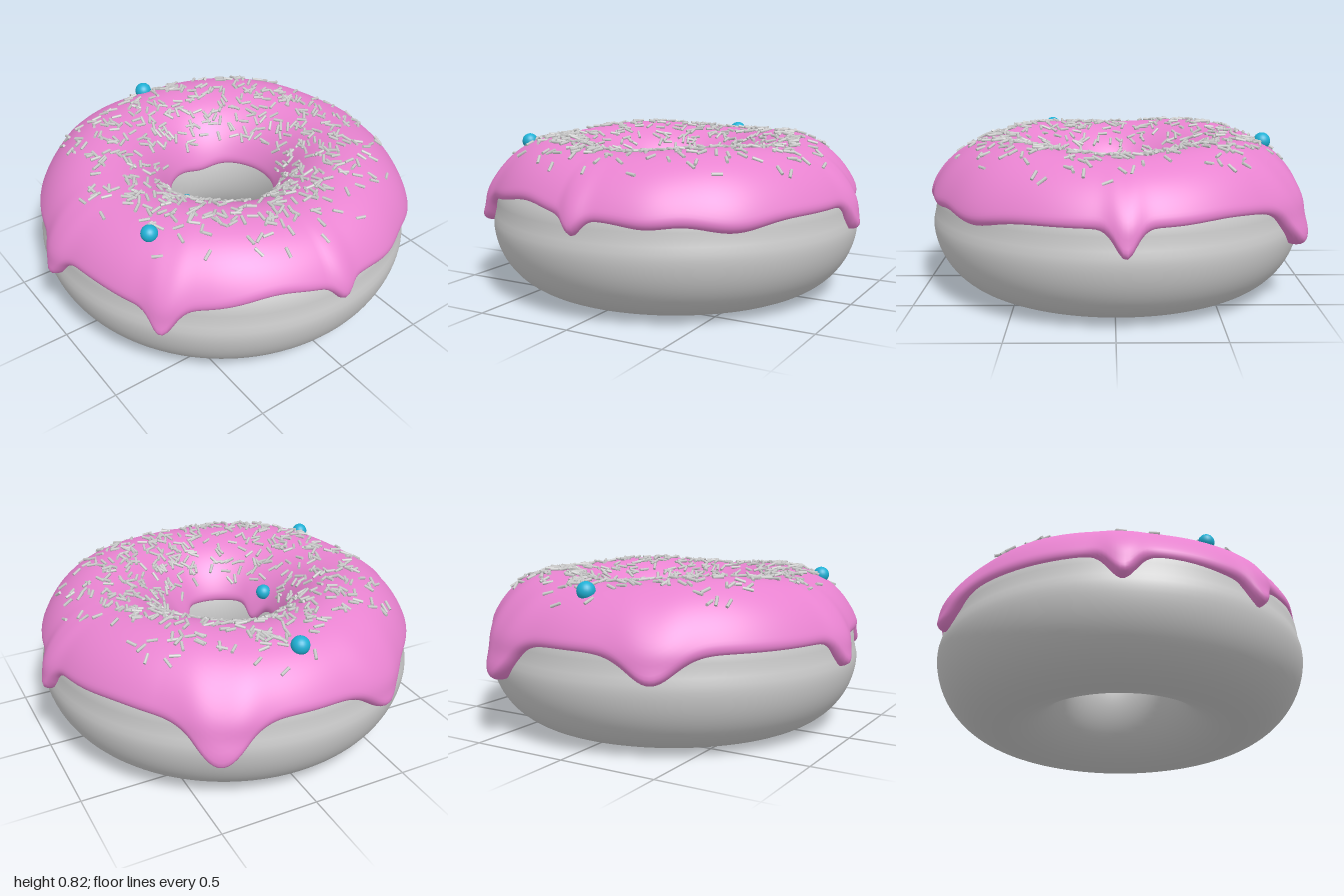
import * as THREE from 'three';
import { mergeGeometries } from 'three/addons/utils/BufferGeometryUtils.js';

const RING = 0.62, A = 0.35, B = 0.37;   // ring radius and half sizes of the dough section
const DEG = Math.PI / 180;

// Drips of the outer icing edge: angle from the front, width (degrees), depth
const DRIPS = [
  [-52, 4.5, 0.12], [0, 3.5, 0.08], [92, 4, 0.13], [153, 9, 0.2], [205, 9, 0.13], [267, 5, 0.13],
  [21, 8, 0.025], [45, 11, 0.045], [-20, 13, -0.045], [-58, 12, 0.03], [122, 12, -0.015]
];
const INNER_DRIPS = [[-65, 12, 0.08], [30, 10, 0.08], [170, 20, 0.03]];

function dripDepth(list, theta) {
  let sum = 0;
  for (const [deg, width, depth] of list) {
    const d = ((theta / DEG - deg) % 360 + 540) % 360 - 180;
    sum += depth * Math.exp(-((d / width) ** 2));
  }
  return sum;
}

// Dough section: a = 0 outside, PI/2 top, PI inside
function doughPoint(a) {
  const y = B + B * Math.sin(a);
  const dent = a > -1 && Math.cos(a) > 0 ? 0.012 * Math.exp(-(((y - 0.43) / 0.05) ** 2)) : 0;
  return new THREE.Vector2(RING + A * Math.cos(a) - dent, y);
}

function sectionNormal(a) {
  return new THREE.Vector2(Math.cos(a) / A, Math.sin(a) / B).normalize();
}

// Icing thickness away from the edges, with gentle lumps on top
function thickness(theta, a) {
  const top = Math.max(0, Math.sin(a)) ** 3;
  return 0.022 + top * (0.019 - 0.012 * Math.cos(4 * theta) + 0.012 * Math.exp(-((Math.cos(theta - 222 * DEG) - 1) ** 2) * 8));
}

function toRing(theta, r, y) {
  return new THREE.Vector3(r * Math.sin(theta), y, r * Math.cos(theta));
}

function icingPoint(theta, a, t) {
  const p = doughPoint(a).addScaledVector(sectionNormal(a), t);
  return toRing(theta, p.x, p.y);
}

function icingGeometry() {
  const around = 300, across = 44, pos = [], index = [];
  for (let i = 0; i < around; i++) {
    const theta = (i / around) * Math.PI * 2;
    const depth = dripDepth(DRIPS, theta), inner = dripDepth(INNER_DRIPS, theta);
    const a0 = Math.asin((0.5 - depth - B) / B);
    const a1 = Math.PI - Math.asin((0.48 - inner - B) / B);
    for (let j = 0; j <= across; j++) {
      const u = j / across;
      const a = a0 + (a1 - a0) * (0.5 - 0.5 * Math.cos(Math.PI * u));
      // rounded lip at both edges, fatter where a drip hangs
      const d = Math.min(a - a0, a1 - a) * A;
      const lip = d < 0.04 ? Math.sqrt(Math.max(0, 1 - (1 - d / 0.04) ** 2)) : 1;
      const bulge = Math.max(0, depth) * 0.28 * Math.exp(-(((a - a0) / 0.7) ** 2))
        + inner * 0.2 * Math.exp(-(((a1 - a) / 0.4) ** 2));
      const p = icingPoint(theta, a, -0.004 + (thickness(theta, a) + bulge + 0.004) * lip);
      pos.push(p.x, p.y, p.z);
    }
  }
  const row = across + 1;
  for (let i = 0; i < around; i++) {
    for (let j = 0; j < across; j++) {
      const p = i * row + j, q = ((i + 1) % around) * row + j;
      index.push(p, q, p + 1, q, q + 1, p + 1);
    }
  }
  const g = new THREE.BufferGeometry();
  g.setAttribute('position', new THREE.Float32BufferAttribute(pos, 3));
  g.setIndex(index);
  g.computeVertexNormals();
  return g;
}

function seeded(seed) {
  return () => {
    seed = (seed * 1664525 + 1013904223) % 4294967296;
    return seed / 4294967296;
  };
}

// Little rods lying on the icing in random directions
function sprinkleGeometry(count) {
  const rand = seeded(7), rods = [], up = new THREE.Vector3(0, 1, 0);
  const rod = new THREE.CylinderGeometry(0.008, 0.008, 0.052, 6);
  for (let i = 0; i < count; i++) {
    const theta = rand() * Math.PI * 2;
    const a = 0.85 + 1.85 * (0.65 * rand() + 0.35 * rand());
    const n2 = sectionNormal(a);
    const normal = toRing(theta, n2.x, n2.y);
    const side = new THREE.Vector3(Math.cos(theta), 0, -Math.sin(theta));
    const slope = new THREE.Vector3().crossVectors(normal, side);
    const turn = rand() * Math.PI * 2;
    const dir = side.multiplyScalar(Math.cos(turn)).addScaledVector(slope, Math.sin(turn))
      .addScaledVector(normal, (rand() - 0.5) * 0.5).normalize();
    const m = new THREE.Matrix4().makeRotationFromQuaternion(new THREE.Quaternion().setFromUnitVectors(up, dir));
    m.setPosition(icingPoint(theta, a, thickness(theta, a) + 0.005));
    rods.push(rod.clone().applyMatrix4(m));
  }
  return mergeGeometries(rods);
}

export function createModel() {
  const group = new THREE.Group();
  const grey = new THREE.MeshStandardMaterial({ color: 0xcccccc });
  const pink = new THREE.MeshStandardMaterial({ color: 0xe883d0 });
  const blue = new THREE.MeshStandardMaterial({ color: 0x1fb0d4 });

  const add = (name, geometry, material) => {
    const mesh = new THREE.Mesh(geometry, material);
    mesh.name = name;
    mesh.position.z = -0.01;
    group.add(mesh);
    return mesh;
  };

  // Dough ring, with the section seam hidden under the icing
  const section = [];
  for (let i = 0; i <= 72; i++) section.push(doughPoint(Math.PI / 2 - Math.PI * 2 + (i / 72) * Math.PI * 2));
  add('dough', new THREE.LatheGeometry(section, 128), grey);

  add('icing', icingGeometry(), pink);
  add('sprinkles', sprinkleGeometry(620), grey);

  // Sugar pearls: angle from the front, section angle, radius
  const pearls = [[180, Math.acos(0.14 / A), 0.045], [-61, Math.acos(0.14 / A), 0.041], [-75, 2.6, 0.04]];
  for (const [deg, a, radius] of pearls) {
    const pearl = add('sugarPearl', new THREE.SphereGeometry(radius, 24, 16), blue);
    pearl.position.add(icingPoint(deg * DEG, a, thickness(deg * DEG, a) + 0.01));
  }
  return group;
}
